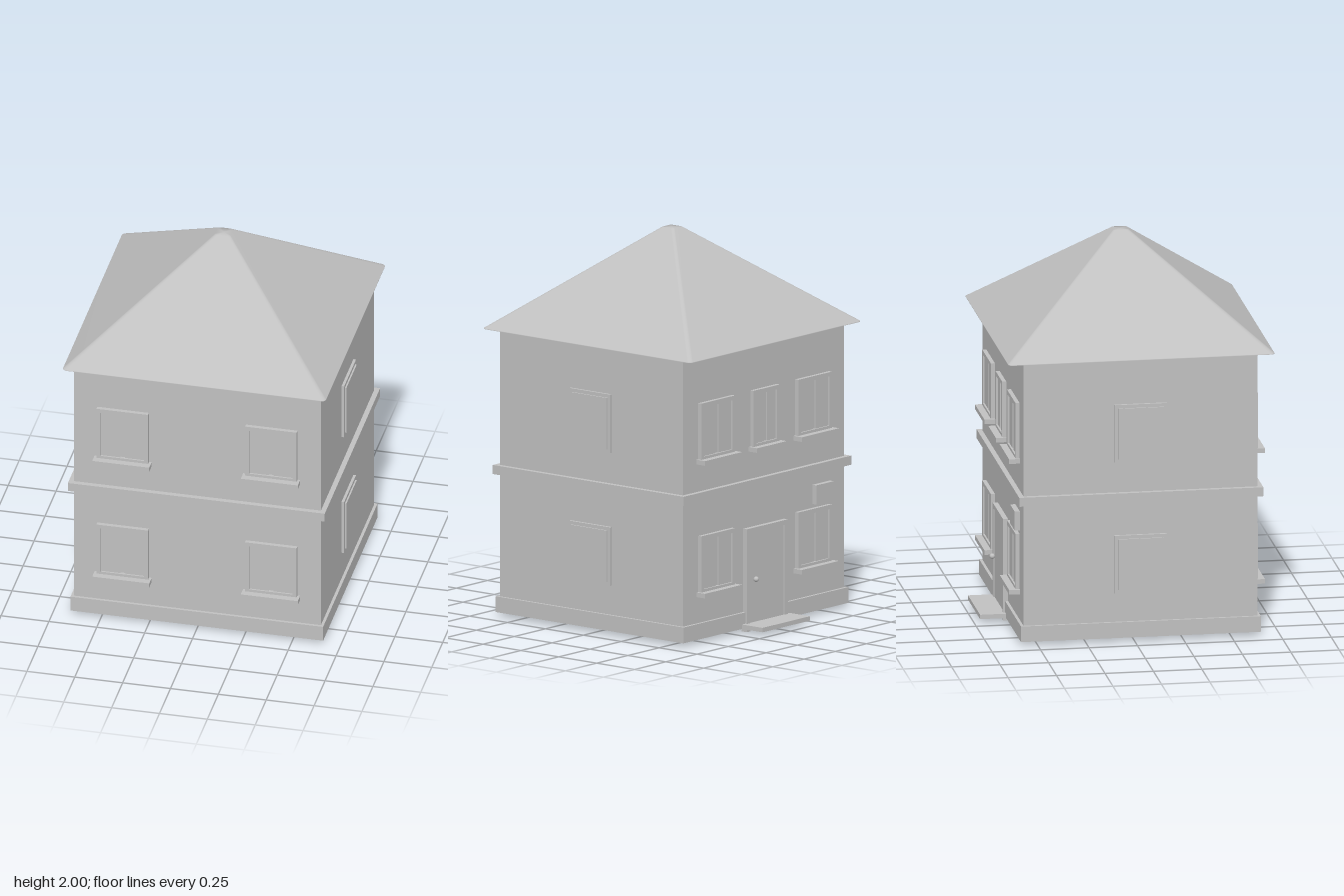
import * as THREE from 'three';

const grey = new THREE.MeshStandardMaterial({ color: 0xc0c0c0 });
grey.name = 'light grey';

const MID_Z = 0.033; // centre of the house body
const WALL_X = 0.645, WALL_Z = 0.604; // half sizes of the walls

function add(parent, name, geometry, x = 0, y = 0, z = 0) {
  const mesh = new THREE.Mesh(geometry, grey);
  mesh.name = name;
  mesh.position.set(x, y, z);
  parent.add(mesh);
  return mesh;
}

// Box given by its limits
function block(parent, name, x0, x1, y0, y1, z0, z1) {
  return add(parent, name, new THREE.BoxGeometry(x1 - x0, y1 - y0, z1 - z0),
    (x0 + x1) / 2, (y0 + y1) / 2, (z0 + z1) / 2);
}

// Rectangular border standing out from a wall
function border(parent, name, w, h, t, depth) {
  const shape = new THREE.Shape([[-w, 0], [w, 0], [w, h], [-w, h]].map(([x, y]) => new THREE.Vector2(x / 2, y)));
  const a = w / 2 - t;
  shape.holes.push(new THREE.Path([[-a, t], [-a, h - t], [a, h - t], [a, t]].map(p => new THREE.Vector2(...p))));
  return add(parent, name, new THREE.ExtrudeGeometry(shape, { depth, bevelEnabled: false }));
}

// Two-pane window with a sill, facing +z, bottom edge at y = 0
function sillWindow(w) {
  const g = new THREE.Group();
  g.name = 'window';
  const h = 0.3, a = w / 2;
  border(g, 'windowFrame', w, h, 0.022, 0.021);
  for (const s of [-1, 1]) {
    const c = s * a / 2;
    block(g, 'windowPane', c - a / 2 + 0.012, c + a / 2 - 0.012, 0.02, h - 0.02, -0.01, 0.012);
  }
  block(g, 'windowBack', -a + 0.01, a - 0.01, 0.01, h - 0.01, -0.01, 0.005);
  block(g, 'windowSill', -a - 0.014, a + 0.014, -0.016, 0.008, -0.01, 0.056);
  return g;
}

// Closed panel window for the sides
function panelWindow() {
  const g = new THREE.Group();
  g.name = 'sideWindow';
  block(g, 'panelFrame', -0.135, 0.135, 0, 0.304, -0.01, 0.014);
  block(g, 'panel', -0.118, 0.118, 0.018, 0.286, -0.01, 0.022);
  return g;
}

// Hipped roof: a rounded square lofted from the eaves to a small flat top
function roofGeometry() {
  const ring = (half, r, y) => {
    const pts = [];
    for (let c = 0; c < 4; c++) {
      for (let i = 0; i <= 4; i++) {
        const a = (c + i / 4) * Math.PI / 2;
        const q = (c + 0.5) * Math.PI / 2;
        pts.push(Math.sign(Math.cos(q)) * (half - r) + r * Math.cos(a), y,
          Math.sign(Math.sin(q)) * (half - r) + r * Math.sin(a));
      }
    }
    return pts;
  };
  const n = 20;
  const pos = [
    ...ring(0.687, 0.022, 1.488), ...ring(0.687, 0.022, 1.492), ...ring(0.04, 0.015, 2),
    0, 2, 0, ...ring(0.687, 0.022, 1.488), 0, 1.488, 0,
  ];
  const index = [];
  for (let i = 0; i < n; i++) {
    const j = (i + 1) % n;
    for (let k = 0; k < 2; k++) {
      const a = k * n + i, b = k * n + j;
      index.push(a, a + n, b, b, a + n, b + n);
    }
    index.push(2 * n + i, 3 * n, 2 * n + j); // flat top
    index.push(3 * n + 1 + i, 3 * n + 1 + j, 4 * n + 1); // underside
  }
  const g = new THREE.BufferGeometry();
  g.setAttribute('position', new THREE.Float32BufferAttribute(pos, 3));
  g.setIndex(index);
  g.computeVertexNormals();
  return g;
}

export function createModel() {
  const house = new THREE.Group();
  house.name = 'house';

  // Body: plinth, walls, belt course between the floors, roof
  const slab = (name, grow, y0, y1) => block(house, name, -WALL_X - grow, WALL_X + grow, y0, y1,
    MID_Z - WALL_Z - grow, MID_Z + WALL_Z + grow);
  slab('plinth', 0.015, 0.02, 0.102);
  slab('walls', 0, 0.09, 1.49);
  slab('beltCourse', 0.026, 0.738, 0.785);
  add(house, 'roof', roofGeometry(), 0, 0, MID_Z);

  // Windows on both floors
  const place = (w, x, y, z, turn) => {
    w.position.set(x, y, z);
    w.rotation.y = turn;
    house.add(w);
  };
  const front = MID_Z + WALL_Z, back = MID_Z - WALL_Z;
  for (const y of [0.255, 0.945]) {
    for (const s of [-1, 1]) {
      place(sillWindow(0.27), s * 0.388, y, front, 0);
      place(sillWindow(0.27), s * 0.388, y, back, Math.PI);
      place(panelWindow(), s * WALL_X, y, MID_Z, s * Math.PI / 2);
    }
  }
  place(sillWindow(0.21), 0, 0.945, back, Math.PI);

  // Door at the back with frame, knob and step
  for (const s of [-1, 1]) {
    const x = s * 0.15;
    block(house, 'doorPost', x - 0.013, x + 0.013, 0, 0.535, -0.597, -0.56);
  }
  block(house, 'doorLintel', -0.163, 0.163, 0.51, 0.535, -0.597, -0.56);
  block(house, 'door', -0.14, 0.14, 0.005, 0.512, -0.591, -0.56);
  add(house, 'doorKnob', new THREE.SphereGeometry(0.014, 16, 12), 0.105, 0.268, -0.609);
  block(house, 'doorStep', -0.19, 0.19, 0.02, 0.043, -0.72, -0.57);

  // Blank plate above the window beside the door
  block(house, 'wallPlate', -0.53, -0.39, 0.575, 0.675, -0.598, -0.56);

  return house;
}
